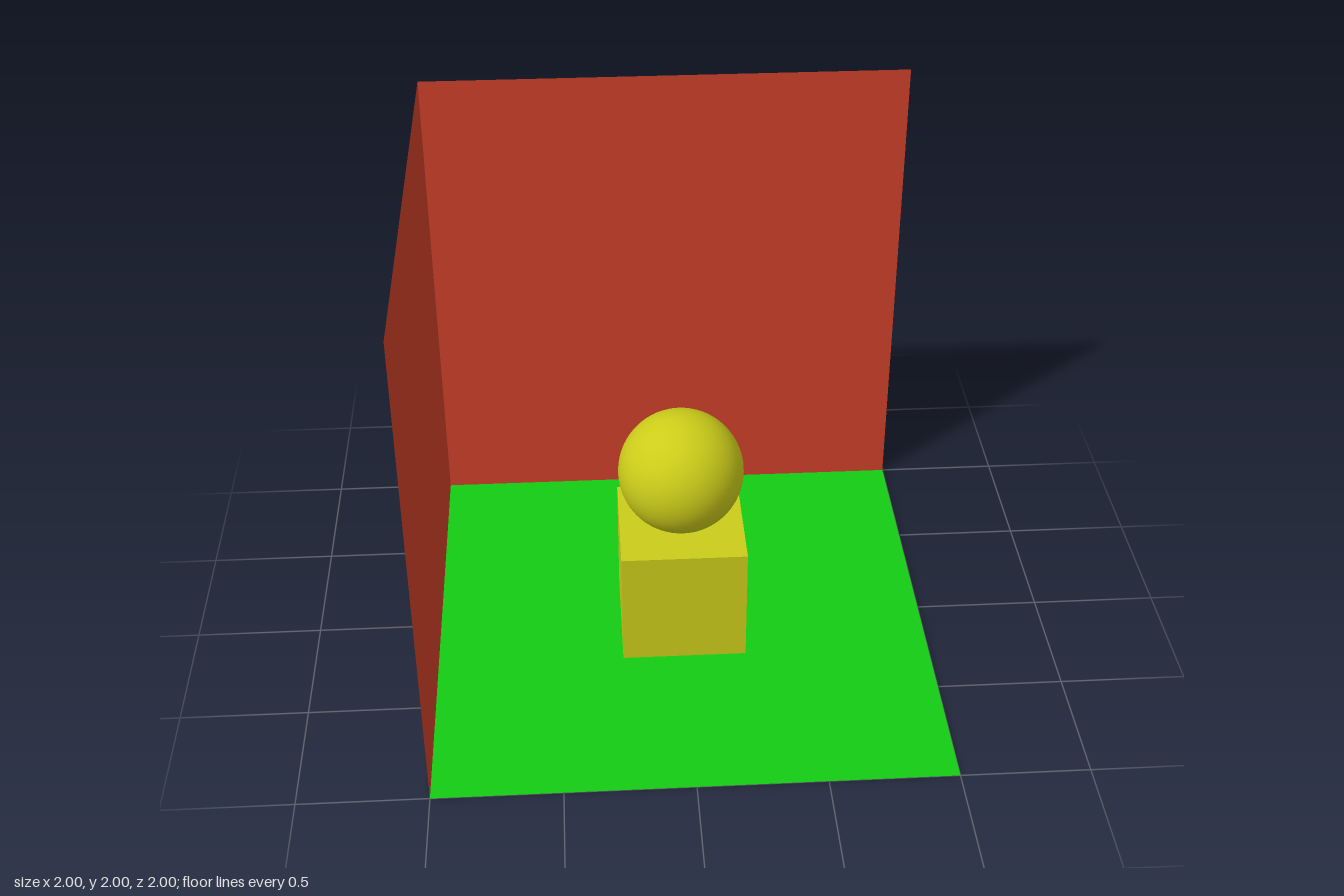
import * as THREE from 'three';

export function createModel() {
  const group = new THREE.Group();
  const red = new THREE.MeshStandardMaterial({ color: 0xcc3f28, side: THREE.DoubleSide });
  const green = new THREE.MeshStandardMaterial({ color: 0x13cc13, side: THREE.DoubleSide });
  const yellow = new THREE.MeshStandardMaterial({ color: 0xcccc1a });

  function add(name, geometry, material, x, y, z) {
    const mesh = new THREE.Mesh(geometry, material);
    mesh.name = name;
    mesh.position.set(x, y, z);
    group.add(mesh);
    return mesh;
  }

  // Open room corner: floor and two walls, all thin sheets
  const sheet = new THREE.PlaneGeometry(2, 2);
  add('floor', sheet, green, 0, 0, 0).rotation.x = -Math.PI / 2;
  add('backWall', sheet, red, 0, 1, -1);
  add('rightWall', sheet, red, -1, 1, 0).rotation.y = Math.PI / 2;

  // Ball resting on a cube pedestal
  add('pedestal', new THREE.BoxGeometry(0.5, 0.5, 0.5), yellow, 0, 0.25, 0);
  add('ball', new THREE.SphereGeometry(0.25, 64, 32), yellow, 0, 0.75, 0);

  return group;
}
